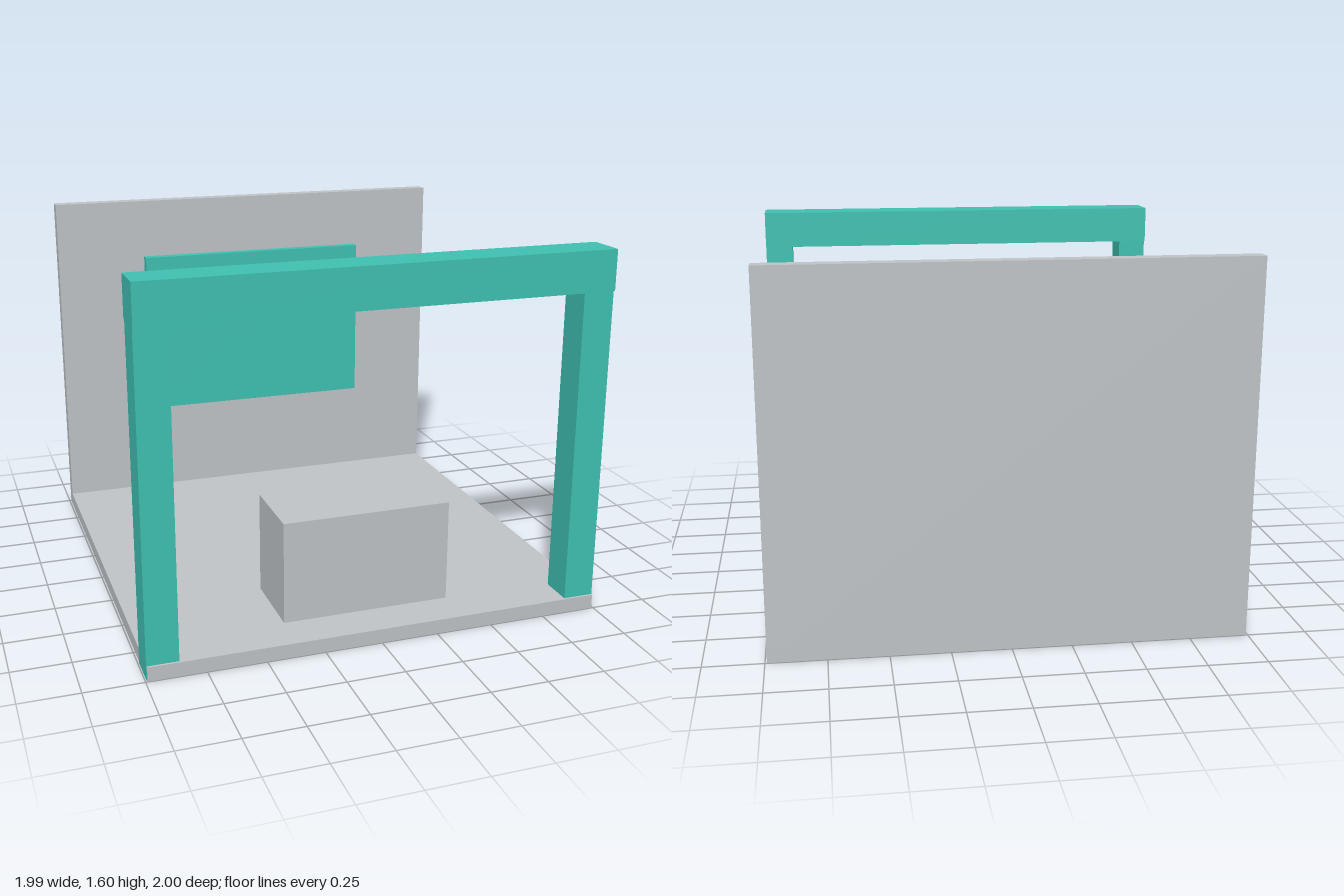
import * as THREE from 'three';

export function createModel() {
  const material = (name, color) => {
    const m = new THREE.MeshStandardMaterial({ color });
    m.name = name;
    return m;
  };
  const grey = material('light grey', 0xc2c6c9);
  const teal = material('teal', 0x40c3b4);
  const slate = material('slate blue', 0x4a6b80);

  const model = new THREE.Group();
  model.name = 'boothStand';

  // Box given by its limits on each axis
  const box = (name, mat, [x0, x1], [y0, y1], [z0, z1]) => {
    const mesh = new THREE.Mesh(new THREE.BoxGeometry(x1 - x0, y1 - y0, z1 - z0), mat);
    mesh.position.set((x0 + x1) / 2, (y0 + y1) / 2, (z0 + z1) / 2);
    mesh.name = name;
    model.add(mesh);
  };

  // Floor slab and back wall
  box('floor', grey, [-0.992, 0.992], [0.001, 0.063], [-1, 1]);
  box('backWall', grey, [-0.992, 0.992], [0.001, 1.597], [-1, -0.933]);

  // Front gateway: two posts and a slightly deeper beam
  box('leftPost', teal, [0.86, 0.994], [0, 1.426], [0.843, 0.99]);
  box('rightPost', teal, [-0.994, -0.86], [0, 1.426], [0.843, 0.99]);
  box('beam', teal, [-0.994, 0.994], [1.426, 1.6], [0.828, 1]);

  // Counter behind the gateway
  box('counter', grey, [-0.371, 0.371], [0.063, 0.511], [0.471, 0.817]);

  // Display panel with its smaller backing, floating before the wall
  box('displayPanel', teal, [-0.568, 0.568], [0.527, 1.323], [-0.885, -0.838]);
  box('displayBacking', slate, [-0.547, 0.547], [0.57, 1.28], [-0.913, -0.885]);

  return model;
}
